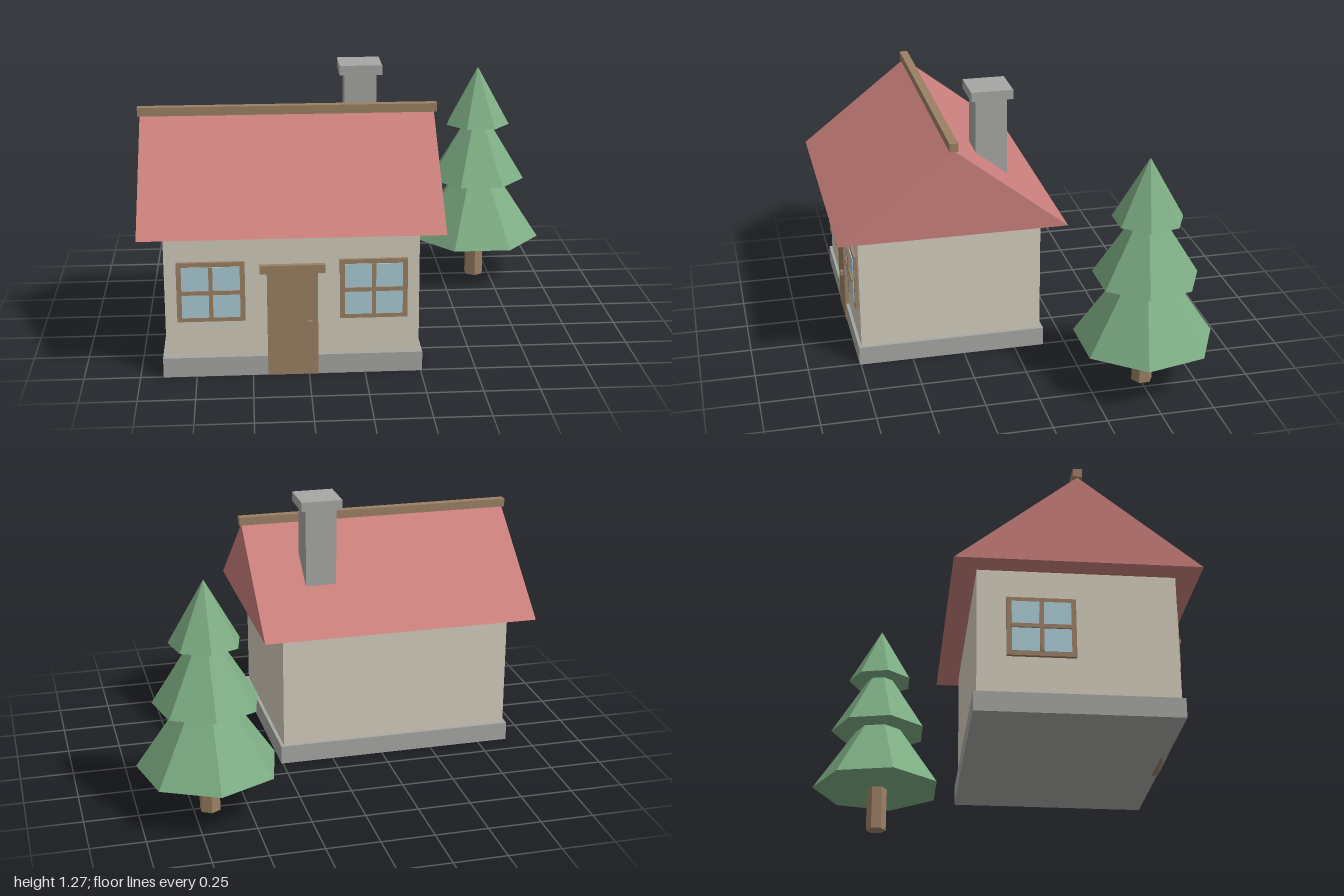
import * as THREE from 'three';

const mat = (name, color) => new THREE.MeshStandardMaterial({ name, color });

export function createModel() {
  const root = new THREE.Group();
  root.name = 'cottageWithTree';

  const wall = mat('cream wall', 0xd3ccbd);
  const stone = mat('grey stone', 0xa6a6a4);
  const tile = mat('red roof', 0xc97f7b);
  const wood = mat('brown wood', 0x9c8064);
  const glass = mat('pale blue glass', 0xaccbd5);
  const leaf = mat('green needles', 0x7eae84);
  leaf.flatShading = wood.flatShading = true;

  const add = (parent, name, geometry, material) => {
    const mesh = new THREE.Mesh(geometry, material);
    mesh.name = name;
    parent.add(mesh);
    return mesh;
  };

  // Box given by its minimum and maximum on each axis
  const box = (parent, name, material, [x0, x1], [y0, y1], [z0, z1]) => {
    const mesh = add(parent, name, new THREE.BoxGeometry(x1 - x0, y1 - y0, z1 - z0), material);
    mesh.position.set((x0 + x1) / 2, (y0 + y1) / 2, (z0 + z1) / 2);
    return mesh;
  };

  // House body
  const house = new THREE.Group();
  house.name = 'house';
  root.add(house);
  box(house, 'foundation', stone, [-0.898, 0.257], [0, 0.09], [-0.142, 0.756]);
  box(house, 'walls', wall, [-0.882, 0.241], [0.09, 0.668], [-0.127, 0.742]);

  // Gabled roof: a triangle pushed along x
  const gable = new THREE.Shape([
    new THREE.Vector2(-0.845, 0.668),
    new THREE.Vector2(0.233, 0.668),
    new THREE.Vector2(-0.306, 1.09),
  ]);
  const roofGeo = new THREE.ExtrudeGeometry(gable, { depth: 1.338, bevelEnabled: false });
  roofGeo.rotateY(Math.PI / 2);
  add(house, 'roof', roofGeo, tile).position.x = -0.99;
  box(house, 'ridgeBeam', wood, [-1, 0.36], [1.088, 1.128], [0.286, 0.326]);

  // Chimney
  box(house, 'chimneyStack', stone, [-0.052, 0.097], [0.75, 1.232], [0.002, 0.152]);
  box(house, 'chimneyCap', stone, [-0.076, 0.122], [1.23, 1.275], [-0.022, 0.176]);

  // Door
  box(house, 'door', wood, [-0.433, -0.209], [0, 0.481], [0.73, 0.759]);
  box(house, 'doorLintel', wood, [-0.465, -0.176], [0.48, 0.517], [0.73, 0.768]);
  box(house, 'doorKnob', wood, [-0.257, -0.235], [0.235, 0.257], [0.755, 0.775]);

  // Window, built facing +z with its back on the wall plane
  const addWindow = (name, x, z, turn) => {
    const win = new THREE.Group();
    win.name = name;
    box(win, 'windowFrame', wood, [-0.15, 0.15], [-0.137, 0.137], [-0.01, 0.015]);
    box(win, 'windowGlass', glass, [-0.128, 0.128], [-0.117, 0.117], [0.012, 0.019]);
    box(win, 'verticalBar', wood, [-0.009, 0.009], [-0.117, 0.117], [0.015, 0.027]);
    box(win, 'horizontalBar', wood, [-0.128, 0.128], [-0.009, 0.009], [0.015, 0.026]);
    win.position.set(x, 0.398, z);
    win.rotation.y = turn;
    house.add(win);
  };
  addWindow('frontRightWindow', -0.679, 0.742, 0);
  addWindow('frontLeftWindow', 0.038, 0.742, 0);
  addWindow('sideWindow', -0.882, 0.15, -Math.PI / 2);

  // Conifer: six-sided trunk and three seven-sided tiers
  const tree = new THREE.Group();
  tree.name = 'tree';
  tree.position.set(0.674, 0, -0.511);
  root.add(tree);
  add(tree, 'trunk', new THREE.CylinderGeometry(0.05, 0.05, 0.26, 6), wood).position.y = 0.13;
  const tiers = [
    [0.329, 0.22, 0.71],
    [0.247, 0.532, 0.93],
    [0.165, 0.818, 1.112],
  ];
  tiers.forEach(([radius, bottom, apex], i) => {
    const cone = add(tree, `foliageTier${i + 1}`, new THREE.ConeGeometry(radius, apex - bottom, 7), leaf);
    cone.position.y = (bottom + apex) / 2;
    cone.rotation.y = Math.PI;
  });

  return root;
}
